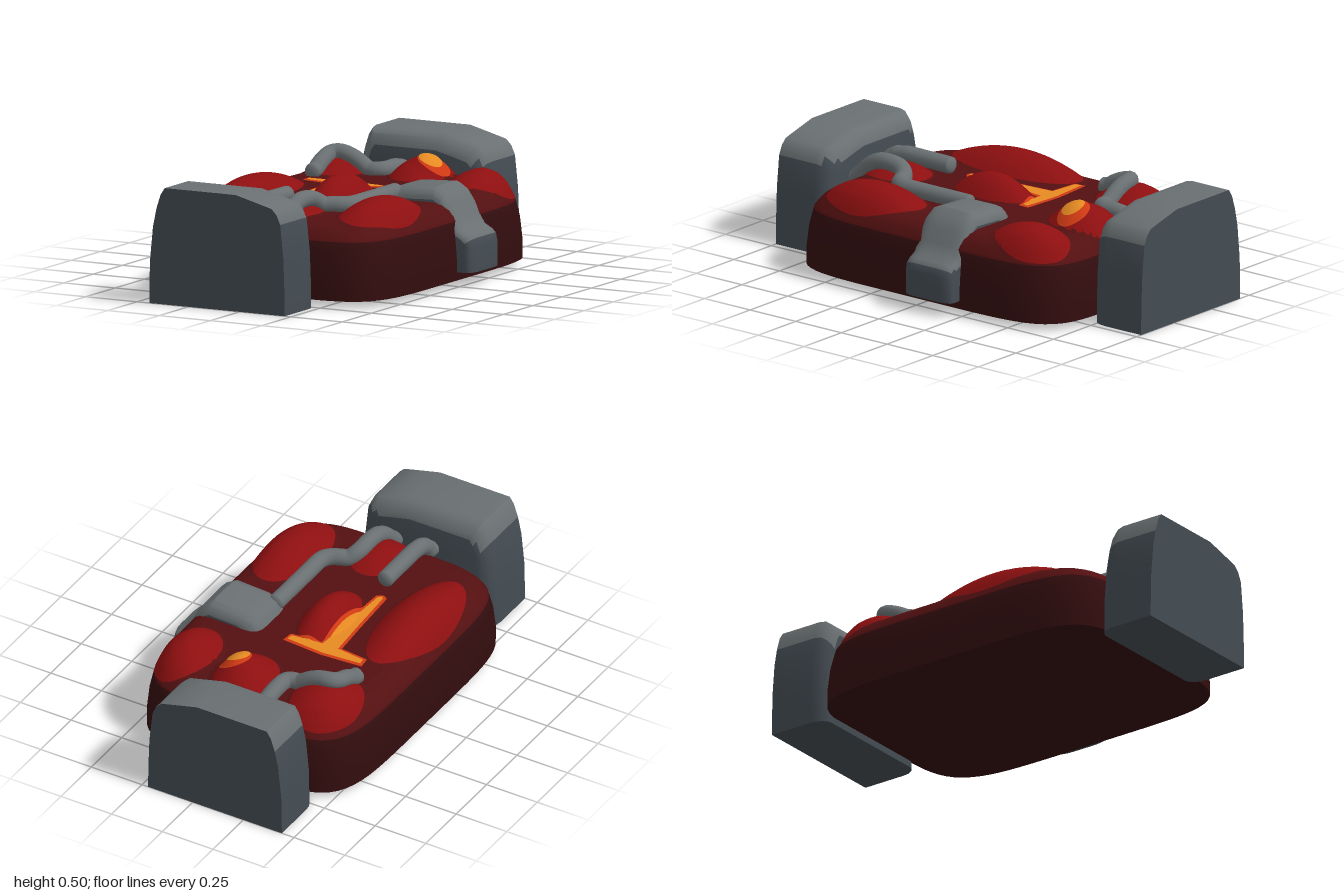
import * as THREE from 'three';
import { toCreasedNormals } from 'three/addons/utils/BufferGeometryUtils.js';

const mat = (name, color) => {
  const m = new THREE.MeshStandardMaterial({ color });
  m.name = name;
  return m;
};

// Raised lobes: centre x, z, radii x, z, height
const LOBES = [
  [-0.36, -0.495, 0.15, 0.18, 0.065], [0.02, -0.53, 0.135, 0.17, 0.08], [0.325, -0.49, 0.13, 0.18, 0.06],
  [-0.395, 0.18, 0.14, 0.34, 0.075], [-0.06, 0.03, 0.105, 0.2, 0.09], [0.32, 0.365, 0.14, 0.25, 0.07],
  [-0.015, 0.52, 0.125, 0.155, 0.045],
];
const EMBER = [0.07, -0.505, 0.075, 0.075, 0.016];

// Footprint of the body: a superellipse
const CX = -0.035, A = 0.535, B = 0.735, N = 5.5;
// Height of the body from centre (0) to rim (1)
const EDGE = [[0, 0.35], [0.78, 0.355], [0.86, 0.345], [0.91, 0.325], [0.94, 0.3], [0.96, 0.278], [0.985, 0.2], [1, 0.1]];

function edgeHeight(s) {
  for (let i = 1; i < EDGE.length; i++) {
    const [s0, y0] = EDGE[i - 1], [s1, y1] = EDGE[i];
    if (s <= s1) return y0 + (y1 - y0) * (s - s0) / (s1 - s0);
  }
  return 0.1;
}

// Height of the body's surface at x, z
function surface(x, z) {
  const s = (Math.abs((x - CX) / A) ** N + Math.abs(z / B) ** N) ** (1 / N);
  let y = edgeHeight(s);
  for (const [cx, cz, rx, rz, h] of [...LOBES, EMBER]) {
    y += h * Math.max(0, 1 - ((x - cx) / rx) ** 2 - ((z - cz) / rz) ** 2);
  }
  return y;
}

// Skin over equal rings of points; flat() projects a ring for its end caps,
// pick() chooses the material index of a face from its ring and height
function loft(rings, { flat = null, pick = () => 0, crease = 0.6 } = {}) {
  const n = rings[0].length, faces = [[], []];
  for (let i = 0; i < rings.length - 1; i++) {
    for (let j = 0; j < n; j++) {
      const k = (j + 1) % n, a = i * n + j, b = i * n + k;
      const y = (rings[i][j].y + rings[i][k].y) / 2;
      faces[pick(i, y)].push(a, b, b + n, a, b + n, a + n);
    }
  }
  if (flat) {
    const last = rings.length - 1;
    for (const [a, b, c] of THREE.ShapeUtils.triangulateShape(rings[0].map(flat), [])) faces[0].push(c, b, a);
    for (const f of THREE.ShapeUtils.triangulateShape(rings[last].map(flat), [])) {
      faces[pick(last, 0)].push(...f.map((v) => v + last * n));
    }
  }
  const geo = new THREE.BufferGeometry().setFromPoints(rings.flat());
  geo.setIndex([...faces[0], ...faces[1]]);
  geo.addGroup(0, faces[0].length, 0);
  if (faces[1].length) geo.addGroup(faces[0].length, faces[1].length, 1);
  return toCreasedNormals(geo, crease);
}

const ellipse = (cx, cz, rx, rz, n = 48) => Array.from({ length: n }, (_, i) => {
  const t = i / n * Math.PI * 2;
  return new THREE.Vector2(cx + rx * Math.cos(t), cz - rz * Math.sin(t));
});

// Thin plate that follows the body's surface inside an x, z outline
function drape(outline, lift) {
  const pts = THREE.ShapeUtils.isClockWise(outline) ? outline : outline.slice().reverse();
  const c = pts.reduce((s, p) => s.add(p), new THREE.Vector2()).divideScalar(pts.length);
  const rings = [];
  for (let i = 0; i <= 14; i++) {
    const t = Math.max(0.001, 1 - i / 14);
    rings.push(pts.map((p) => {
      const q = c.clone().lerp(p, t);
      return new THREE.Vector3(q.x, surface(q.x, q.y) + lift, q.y);
    }));
  }
  return loft(rings, { crease: 1.2 });
}

// Evenly divided closed outline through a few corners
const outline = (corners) => new THREE.Shape([...corners, corners[0]].map(([x, z]) => new THREE.Vector2(x, z)))
  .getSpacedPoints(100).slice(0, -1);

// Solid of an x, y profile along z; each station is [z, shrink towards centre]
function profileSolid(profile, [cx, cy], stations, lightAbove) {
  const rings = stations.map(([z, t]) => profile.map(([x, y]) =>
    new THREE.Vector3(x + (cx - x) * t, y + (cy - y) * t, z)).reverse());
  const limit = lightAbove;
  return loft(rings, {
    flat: (p) => new THREE.Vector2(p.x, p.y),
    pick: (i, y) => (i < stations.length - 1 && y > limit ? 1 : 0),
  });
}

export function createModel() {
  const group = new THREE.Group();
  const darkRed = mat('dark red', 0x330d0e), midRed = mat('deep red', 0x541011), red = mat('red', 0x8e0f10);
  const rust = mat('red orange', 0xd03a14), orange = mat('orange', 0xe68a22);
  const slate = mat('dark grey', 0x434b52), grey = mat('grey', 0x6a7072);
  const add = (name, geo, material) => {
    const m = new THREE.Mesh(geo, material);
    m.name = name;
    group.add(m);
  };

  // Body: dark skirt and lumpy top
  const seg = 128;
  const bodyRing = (s, y) => Array.from({ length: seg }, (_, j) => {
    const t = j / seg * Math.PI * 2, c = Math.cos(t), d = -Math.sin(t);
    const k = s / (Math.abs(c) ** N + Math.abs(d) ** N) ** (1 / N);
    const x = CX + A * c * k, z = B * d * k;
    return new THREE.Vector3(x, y ?? surface(x, z), z);
  });
  const rings = [bodyRing(1, 0.03), bodyRing(1), bodyRing(0.985), bodyRing(0.972), bodyRing(0.96)];
  for (const s of [0.95, 0.94, 0.925, 0.91, 0.885]) rings.push(bodyRing(s));
  for (let i = 0; i <= 43; i++) rings.push(bodyRing(Math.max(0.005, 0.86 - i * 0.02)));
  add('body', loft(rings, {
    flat: (p) => new THREE.Vector2(p.x, -p.z),
    pick: (i) => (i < 4 ? 0 : 1),
    crease: 0.9,
  }), [darkRed, midRed]);

  // Red lobes
  for (const [x, z, rx, rz] of LOBES) add('lobe', drape(ellipse(x, z, rx, rz), 0.004), red);

  // Glowing spot
  add('emberRim', drape(ellipse(0.08, -0.515, 0.07, 0.07), 0.007), rust);
  add('ember', drape(ellipse(0.07, -0.505, 0.05, 0.05), 0.01), orange);

  // Glowing crack: crossbar and tapering stem, each with a rim
  const bar = (e) => outline([[-0.35 - e, -0.205 - e], [-0.17, -0.218 - e], [0.01 + e, -0.205 - e],
    [0.005 + e, -0.175 + e], [-0.11, -0.16 + e], [-0.22, -0.16 + e], [-0.345 - e, -0.175 + e]]);
  const stem = (e) => outline([[-0.215 - e, -0.185], [-0.135 + e, -0.185], [-0.148 + e, 0.03],
    [-0.163 + e, 0.25 + e], [-0.178, 0.265 + e], [-0.188 - e, 0.25 + e], [-0.2 - e, 0.03]]);
  add('crackBarRim', drape(bar(0.013), 0.007), rust);
  add('crackStemRim', drape(stem(0.013), 0.007), rust);
  add('crackBar', drape(bar(0), 0.0105), orange);
  add('crackStem', drape(stem(0), 0.0105), orange);

  // Pipes lying on the body
  const pipe = (corners, lift) => {
    const plan = new THREE.CurvePath();
    const v = corners.map(([x, z]) => new THREE.Vector3(x, 0, z));
    let from = v[0];
    for (let i = 1; i < v.length - 1; i++) {
      const toward = (q) => v[i].clone().add(q.clone().sub(v[i]).setLength(0.05));
      const p = toward(v[i - 1]), q = toward(v[i + 1]);
      plan.add(new THREE.LineCurve3(from, p));
      plan.add(new THREE.QuadraticBezierCurve3(p, v[i], q));
      from = q;
    }
    plan.add(new THREE.LineCurve3(from, v[v.length - 1]));
    const pts = plan.getSpacedPoints(24);
    for (const p of pts) p.y = Math.max(0.285, surface(p.x, p.z)) + lift;
    const path = new THREE.CatmullRomCurve3(pts);
    add('pipe', new THREE.TubeGeometry(path, 80, 0.037, 14), grey);
    for (const p of [pts[0], pts[pts.length - 1]]) {
      add('pipeEnd', new THREE.SphereGeometry(0.037, 14, 10).scale(1, 1, 0.5).translate(p.x, p.y, p.z), grey);
    }
  };
  pipe([[-0.145, -0.75], [-0.145, -0.465], [-0.385, -0.465], [-0.388, -0.3]], 0.018);
  pipe([[-0.145, 0.75], [-0.145, 0.345]], 0.04);
  pipe([[0.175, -0.02], [0.175, 0.37], [0.045, 0.43], [0.033, 0.75]], 0.025);

  // End blocks
  const blockProfile = [[-0.44, 0], [-0.437, 0.18], [-0.422, 0.33], [-0.405, 0.41], [-0.385, 0.47], [-0.365, 0.5],
    [-0.02, 0.5], [0.07, 0.477], [0.155, 0.455], [0.18, 0.43], [0.198, 0.39], [0.213, 0.25], [0.218, 0.12], [0.22, 0]];
  const inner = [[0.725, 0.14], [0.733, 0.09], [0.748, 0.045], [0.77, 0.012], [0.8, 0], [1, 0]];
  const outer = inner.map(([z, t]) => [-z, t]).reverse();
  add('frontBlock', profileSolid(blockProfile, [-0.11, 0], inner, 0.4), [slate, grey]);
  add('backBlock', profileSolid(blockProfile, [-0.11, 0], outer, 0.4), [slate, grey]);

  // Side clamp folded over the edge
  const clampProfile = [[0.13, 0.3], [0.14, 0.36], [0.165, 0.395], [0.22, 0.412], [0.38, 0.42], [0.42, 0.395],
    [0.455, 0.345], [0.48, 0.29], [0.505, 0.25], [0.545, 0.228], [0.562, 0.21], [0.57, 0.175], [0.57, 0.065],
    [0.47, 0.065], [0.47, 0.2], [0.4, 0.28]];
  const clampStations = [[-0.235, 0.15], [-0.23, 0.09], [-0.215, 0.04], [-0.19, 0.01], [-0.16, 0],
    [-0.055, 0], [-0.025, 0.01], [0, 0.04], [0.015, 0.09], [0.02, 0.15]];
  add('sideClamp', profileSolid(clampProfile, [0.38, 0.065], clampStations, 0.2), [slate, grey]);

  return group;
}
